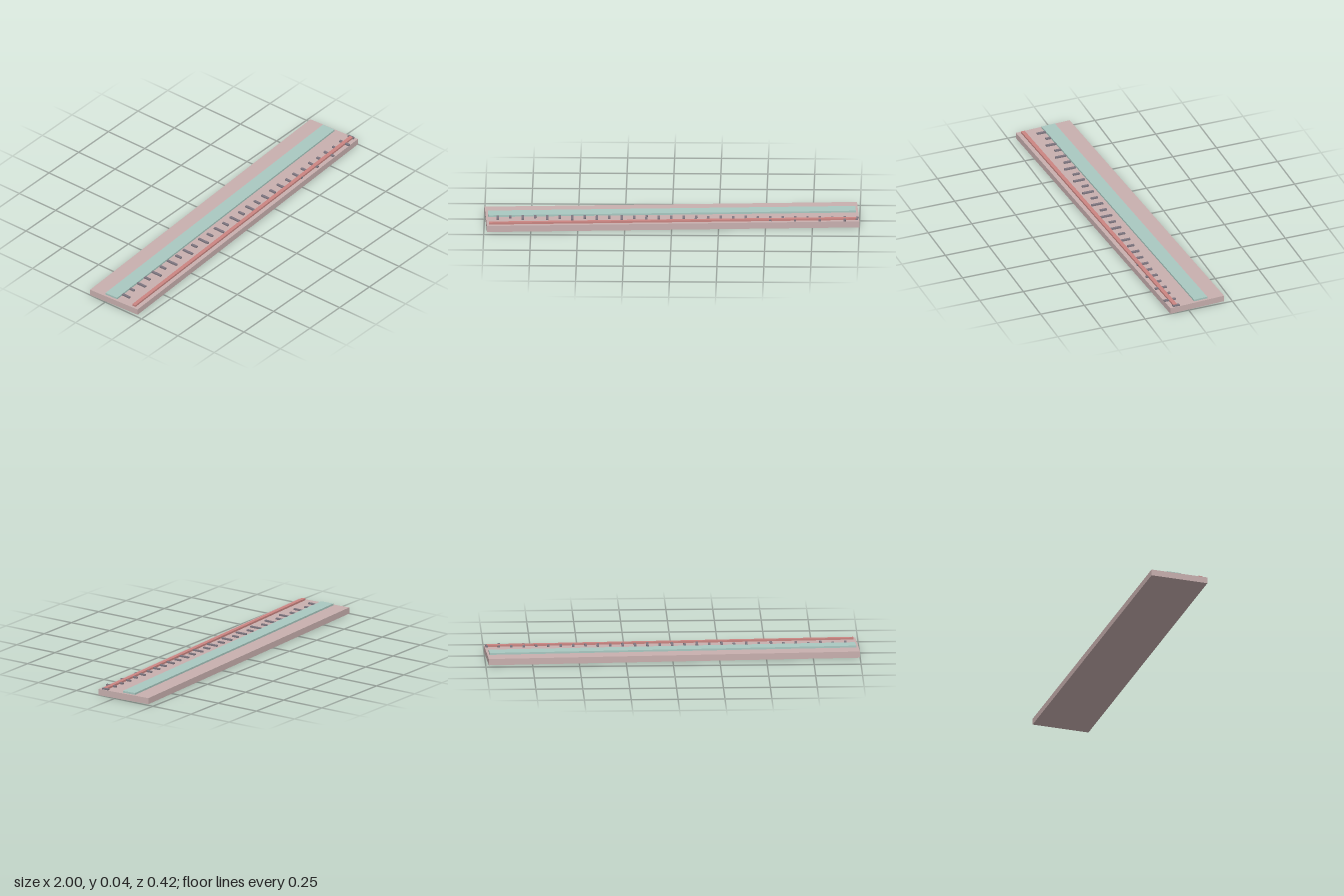
import * as THREE from 'three';

const material = (name, color) => {
  const m = new THREE.MeshStandardMaterial({ color });
  m.name = name;
  return m;
};

export function createModel() {
  const dustyPink = material('dusty pink', 0xc8b0af);
  const paleTeal = material('pale teal', 0xa9c8c1);
  const red = material('muted red', 0xcb8582);
  const grey = material('dark grey', 0x7f7781);

  const model = new THREE.Group();
  model.name = 'ruler';

  // Box given by its size, floor height and centre
  const box = (name, mat, w, h, d, x, y, z, parent) => {
    const mesh = new THREE.Mesh(new THREE.BoxGeometry(w, h, d), mat);
    mesh.name = name;
    mesh.position.set(x, y + h / 2, z);
    parent.add(mesh);
  };

  // Body and its two raised bands, turned slightly
  const body = new THREE.Group();
  body.name = 'body';
  body.rotation.y = THREE.MathUtils.degToRad(3);
  model.add(body);
  const top = 0.034;
  box('base', dustyPink, 1.986, top, 0.314, 0, 0, 0, body);
  box('wideBand', paleTeal, 1.96, 0.01, 0.077, 0, top, -0.026, body);
  box('edgeBand', red, 1.96, 0.01, 0.021, 0, top, 0.123, body);

  // Measuring marks, alternately long and short, kept square to the axes
  const marks = new THREE.Group();
  marks.name = 'marks';
  model.add(marks);
  for (let i = 0; i < 30; i++) {
    const long = i % 2 === 0;
    const length = long ? 0.065 : 0.038;
    box(long ? 'longMark' : 'shortMark', grey, 0.013, 0.008, length,
      -0.927 + 0.066 * i, top, long ? 0.0775 : 0.068, marks);
  }
  return model;
}
